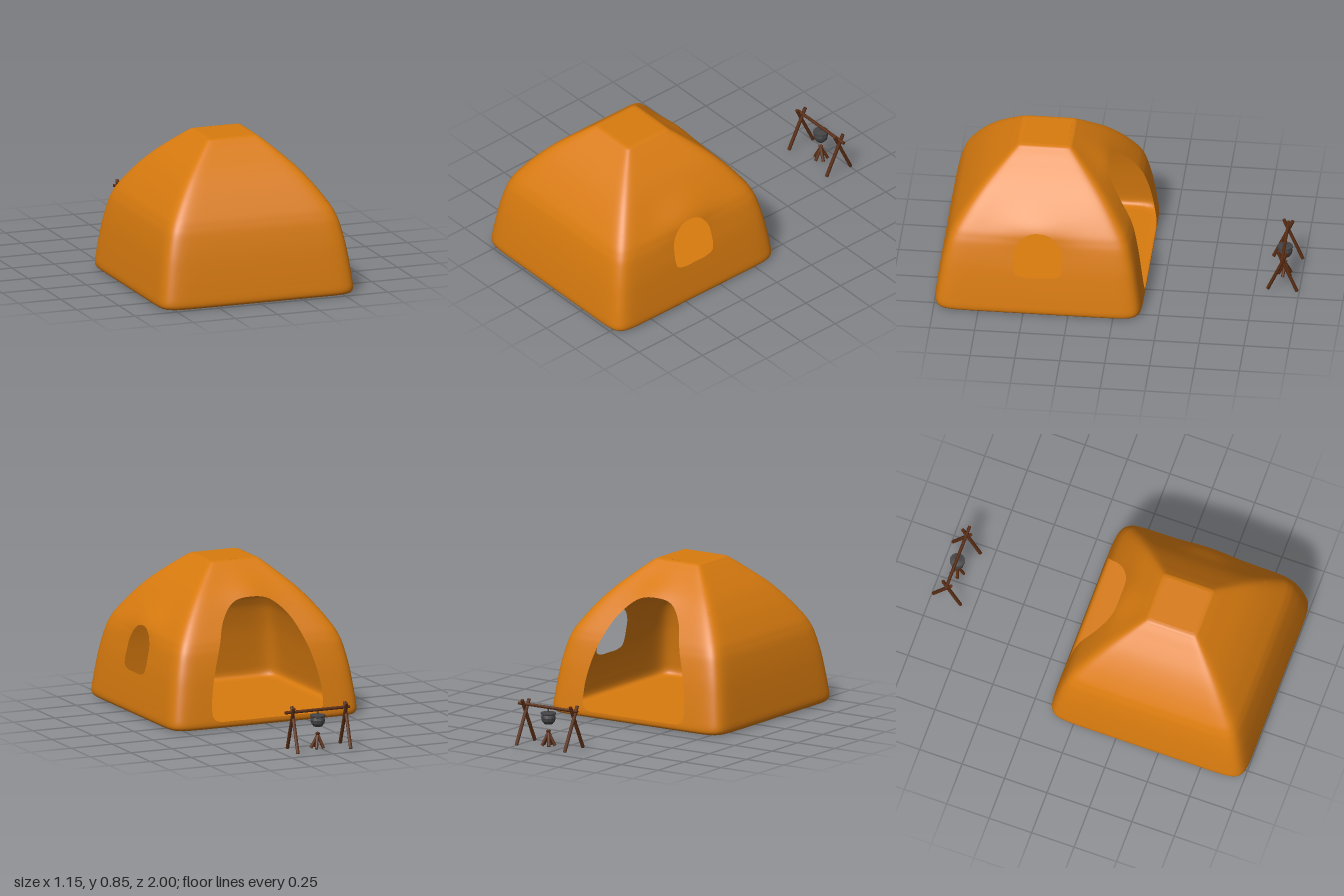
import * as THREE from 'three';

const V2 = (p) => new THREE.Vector2(p[0], p[1]);
const canvas = new THREE.MeshStandardMaterial({ color: 0xd97b0f, side: THREE.DoubleSide });
const wood = new THREE.MeshStandardMaterial({ color: 0x5a2d14 });
const iron = new THREE.MeshStandardMaterial({ color: 0x444446, flatShading: true, side: THREE.DoubleSide });

// Tent silhouette: half width against height
const profile = new THREE.SplineCurve([
  [0.535, 0.004], [0.565, 0.01], [0.577, 0.035], [0.571, 0.1], [0.557, 0.2], [0.54, 0.3], [0.516, 0.4],
  [0.498, 0.45], [0.472, 0.5], [0.403, 0.6], [0.318, 0.7], [0.21, 0.8], [0.163, 0.84], [0.148, 0.851], [0.13, 0.855],
].map(V2));

// Profile parameter at a given height
function paramAt(y) {
  let lo = 0, hi = 1;
  for (let i = 0; i < 30; i++) {
    const mid = (lo + hi) / 2;
    if (profile.getPoint(mid).y < y) lo = mid; else hi = mid;
  }
  return lo;
}

// Point on the +z wall: u runs across (-1..1), t runs up the profile (0..1)
function wallPoint(u, t, bump) {
  const { x: w, y } = profile.getPoint(t);
  const s = w / Math.pow(1 + Math.pow(Math.abs(u), 14), 1 / 14);
  const push = bump ? bump.size * Math.exp(-(((y - bump.y) / 0.08) ** 2) - (u / 0.4) ** 2) : 0;
  return new THREE.Vector3(u * s, y, s + push);
}

// Half outline of an opening (bottom centre to top centre), mirrored into a closed loop of (u, t)
function opening(half, count) {
  const mirrored = half.slice(1, -1).reverse().map(([x, y]) => [-x, y]);
  const loop = new THREE.CatmullRomCurve3(
    [...half, ...mirrored].map(([x, y]) => new THREE.Vector3(x, y, 0)), true);
  return Array.from({ length: count }, (_, i) => {
    const p = loop.getPoint(i / count), t = paramAt(p.y);
    return [p.x / profile.getPoint(t).x, t];
  });
}

// Edge of the whole wall as (u, t), starting at the bottom centre
function wallEdge(i, count) {
  const q = ((i / count) * 4 + 0.5) % 4, side = Math.floor(q), f = q - side;
  return [[2 * f - 1, 0], [1, f], [1 - 2 * f, 1], [-1, 1 - f]][side];
}

// Wall meshed in rings from its opening (or its middle) out to its edge
function wallGeometry(half, bump) {
  const N = 160, K = 30, e = 0.002;
  const inner = half ? opening(half, N) : Array(N).fill([0, 0.5]);
  const pos = [], nor = [], idx = [];
  for (let k = 0; k <= K; k++) {
    for (let i = 0; i < N; i++) {
      const f = k / K, [u1, t1] = wallEdge(i, N), [u0, t0] = inner[i];
      const u = u0 + (u1 - u0) * f, t = t0 + (t1 - t0) * f;
      pos.push(...wallPoint(u, t, bump).toArray());
      const du = wallPoint(u + e, t, bump).sub(wallPoint(u - e, t, bump));
      const dt = wallPoint(u, Math.min(1, t + e), bump).sub(wallPoint(u, Math.max(0, t - e), bump));
      nor.push(...du.cross(dt).normalize().toArray());
      if (k < K) {
        const j = (i + 1) % N, a = k * N + i, b = a + N, c = (k + 1) * N + j, d = k * N + j;
        idx.push(a, b, c, a, c, d);
      }
    }
  }
  const g = new THREE.BufferGeometry();
  g.setAttribute('position', new THREE.Float32BufferAttribute(pos, 3));
  g.setAttribute('normal', new THREE.Float32BufferAttribute(nor, 3));
  g.setIndex(idx);
  return g;
}

// Flat sheet closing the tent at profile parameter t
function sheet(t) {
  const pts = [];
  for (let s = 0; s < 4; s++) {
    for (let i = 0; i < 40; i++) {
      const p = wallPoint(i / 20 - 1, t);
      pts.push(new THREE.Vector2(p.x, -p.z).rotateAround(new THREE.Vector2(), s * Math.PI / 2));
    }
  }
  return new THREE.ShapeGeometry(new THREE.Shape(pts)).rotateX(-Math.PI / 2).translate(0, profile.getPoint(t).y, 0);
}

function add(parent, name, geometry, material) {
  const mesh = new THREE.Mesh(geometry, material);
  mesh.name = name;
  parent.add(mesh);
  return mesh;
}

// Round stick between two points
function stick(parent, name, a, b, r) {
  const A = new THREE.Vector3(...a), B = new THREE.Vector3(...b);
  const m = add(parent, name, new THREE.CylinderGeometry(r, r, A.distanceTo(B), 8), wood);
  m.position.copy(A).lerp(B, 0.5);
  m.quaternion.setFromUnitVectors(new THREE.Vector3(0, 1, 0), B.sub(A).normalize());
}

export function createModel() {
  const model = new THREE.Group();
  model.name = 'campsite';

  // Tent, with its door at the back and a window on its left
  const tent = new THREE.Group();
  tent.name = 'tent';
  tent.position.z = 0.422;
  model.add(tent);
  const door = [[0, 0.045], [0.18, 0.045], [0.325, 0.06], [0.335, 0.17], [0.305, 0.32], [0.26, 0.45],
    [0.2, 0.58], [0.11, 0.665], [0, 0.685]];
  const window = [[0, 0.24], [0.07, 0.24], [0.125, 0.258], [0.136, 0.3], [0.134, 0.35], [0.127, 0.405],
    [0.095, 0.458], [0.05, 0.49], [0, 0.498]];
  const walls = [
    ['frontWall'],
    ['windowWall', window, { size: 0.024, y: 0.52 }],
    ['doorWall', door, { size: 0.018, y: 0.7 }],
    ['rightWall'],
  ];
  walls.forEach(([name, half, bump], i) => {
    add(tent, name, wallGeometry(half, bump), canvas).rotation.y = i * Math.PI / 2;
  });
  add(tent, 'floor', sheet(0), canvas);
  add(tent, 'roof', sheet(1), canvas);

  // Cooking frame behind the tent
  const fire = new THREE.Group();
  fire.name = 'cookingFrame';
  fire.position.z = -0.908;
  model.add(fire);
  for (const x of [-0.12, 0.203]) {
    stick(fire, 'frameLeg', [x - 0.006, 0.022, 0.082], [x + 0.006, 0.268, -0.026], 0.01);
    stick(fire, 'frameLeg', [x + 0.006, 0.022, -0.082], [x - 0.006, 0.268, 0.026], 0.01);
  }
  stick(fire, 'crossbar', [-0.145, 0.241, 0], [0.25, 0.241, 0], 0.009);

  // Pot hanging from the bar
  const potProfile = [[0, 0.145], [0.024, 0.148], [0.037, 0.165], [0.041, 0.185], [0.037, 0.2],
    [0.043, 0.204], [0.043, 0.212], [0.036, 0.212], [0, 0.217]].map(V2);
  add(fire, 'pot', new THREE.LatheGeometry(potProfile, 12), iron).position.x = 0.05;
  const hook = add(fire, 'potHook', new THREE.CylinderGeometry(0.004, 0.004, 0.03, 6), iron);
  hook.position.set(0.05, 0.225, 0);

  // Firewood leaning together under the pot
  for (let i = 0; i < 5; i++) {
    const a = (i / 5) * Math.PI * 2 + 0.3, c = Math.cos(a), s = Math.sin(a);
    stick(fire, 'firewood', [0.05 + c * 0.038, 0.026, s * 0.038], [0.05 - c * 0.006, 0.112, -s * 0.006], 0.009);
  }
  return model;
}
